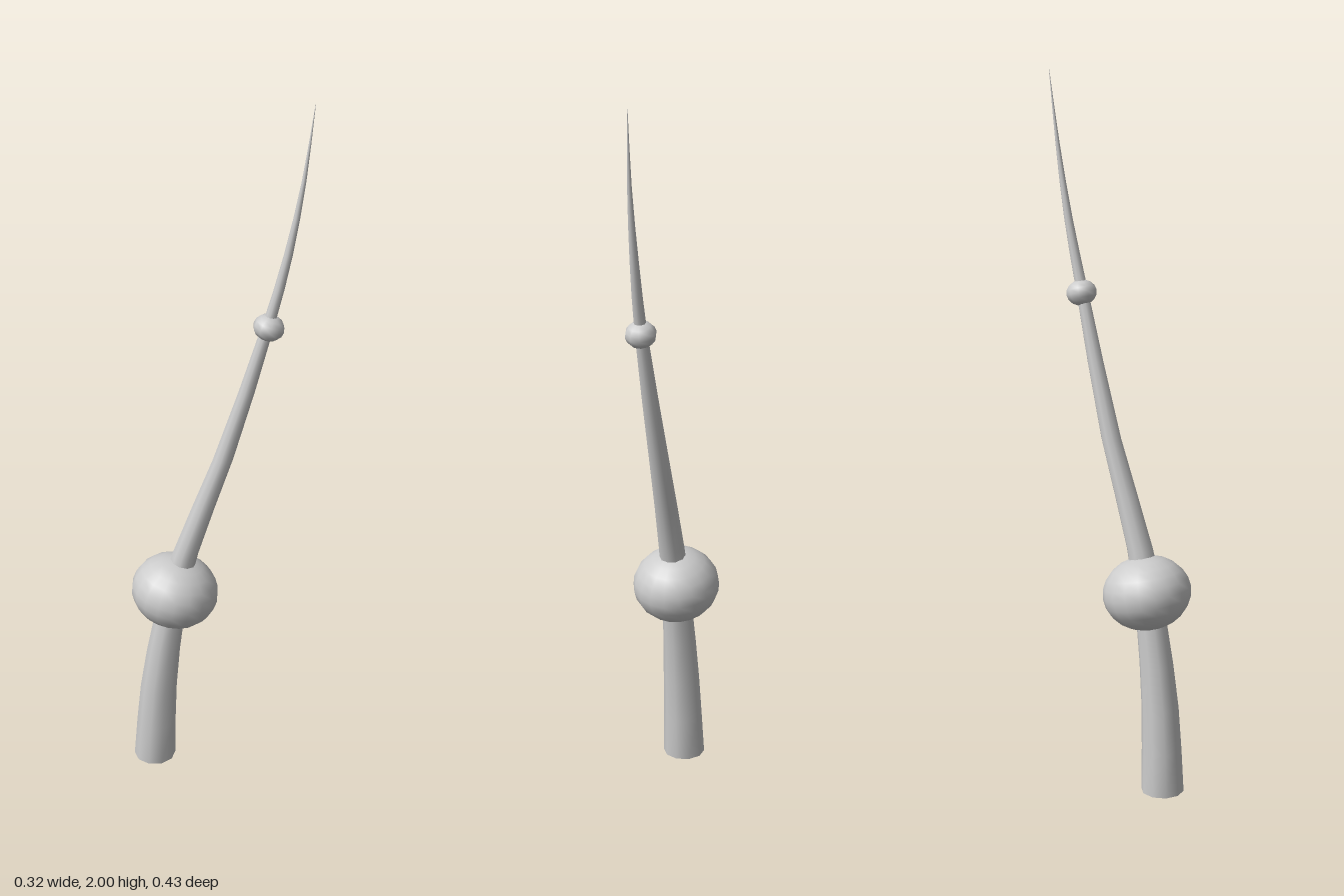
import * as THREE from 'three';
import { mergeVertices } from 'three/addons/utils/BufferGeometryUtils.js';

const material = new THREE.MeshStandardMaterial({ color: 0xcccccc, side: THREE.DoubleSide });

// Centre line of the stalk, from the base to the tip, and its radius at each point
const path = new THREE.CatmullRomCurve3([
  [-0.077, 0, 0.146], [-0.066, 0.25, 0.136], [-0.046, 0.5, 0.107], [-0.02, 0.7, 0.07],
  [0.037, 1, -0.021], [0.108, 1.4, -0.115], [0.134, 1.6, -0.158], [0.152, 1.8, -0.19],
  [0.161, 2, -0.214],
].map((p) => new THREE.Vector3(...p)));
const radii = [0.061, 0.053, 0.043, 0.037, 0.028, 0.017, 0.012, 0.006, 0.0005];

function radiusAt(t) {
  const f = t * (radii.length - 1);
  const i = Math.min(Math.floor(f), radii.length - 2);
  return THREE.MathUtils.lerp(radii[i], radii[i + 1], f - i);
}

// Tapered stalk: an open cylinder whose rings are moved along the path
function stalk() {
  let geometry = new THREE.CylinderGeometry(1, 1, 1, 10, 16, true);
  const pos = geometry.attributes.position;
  for (let i = 0; i < pos.count; i++) {
    const t = pos.getY(i) + 0.5;
    const c = path.getPoint(t);
    const r = radiusAt(t);
    pos.setXYZ(i, c.x + pos.getX(i) * r, c.y, c.z + pos.getZ(i) * r);
  }
  geometry.deleteAttribute('uv');
  geometry.deleteAttribute('normal');
  geometry = mergeVertices(geometry, 1e-5);
  geometry.computeVertexNormals();
  const mesh = new THREE.Mesh(geometry, material);
  mesh.name = 'stalk';
  return mesh;
}

// Slightly flattened bead, tilted to follow the stalk
function bead(name, center, radius, halfHeight, axis, segments, rings) {
  const mesh = new THREE.Mesh(new THREE.SphereGeometry(1, segments, rings), material);
  mesh.name = name;
  mesh.scale.set(radius, halfHeight, radius);
  mesh.position.set(...center);
  mesh.quaternion.setFromUnitVectors(
    new THREE.Vector3(0, 1, 0), new THREE.Vector3(...axis).normalize());
  return mesh;
}

export function createModel() {
  const group = new THREE.Group();
  group.name = 'beadedSpike';
  group.add(
    stalk(),
    bead('largeBead', [-0.039, 0.578, 0.093], 0.125, 0.105, [0.12, 1, -0.18], 18, 12),
    bead('smallBead', [0.109, 1.396, -0.117], 0.043, 0.036, [0.16, 1, -0.23], 10, 8),
  );
  return group;
}
